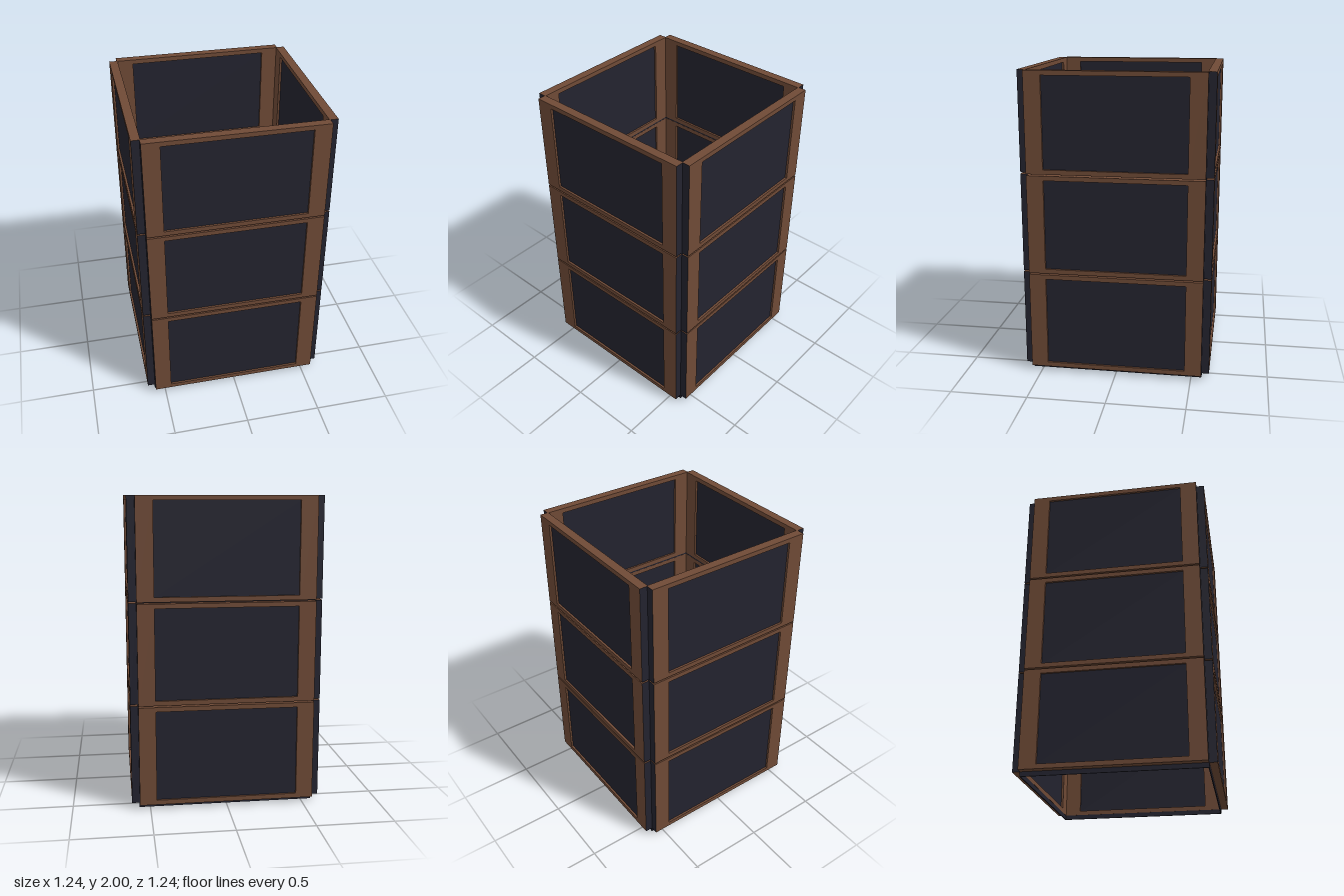
import * as THREE from 'three';

const INNER = 0.562, OUTER = 0.618; // wall faces, measured from the centre
const HALF = 0.568;                 // half the length of a wall
const HOLE = 0.458;                 // half the width of a frame opening
const TIER_H = 0.65, PITCH = 0.66, BASE = 0.03, RAIL = 0.03;

export function createModel() {
  const model = new THREE.Group();
  model.name = 'stackedPanelBox';

  const wood = new THREE.MeshStandardMaterial({ color: 0x6f4a36 });
  wood.name = 'brown wood';
  const dark = new THREE.MeshStandardMaterial({ color: 0x23232f });
  dark.name = 'dark navy';

  // Box given by its min and max corners
  function box(parent, name, min, max, material) {
    const size = max.map((v, i) => v - min[i]);
    const mesh = new THREE.Mesh(new THREE.BoxGeometry(...size), material);
    mesh.position.set(...max.map((v, i) => (v + min[i]) / 2));
    mesh.name = name;
    parent.add(mesh);
  }

  // One framed panel facing +z, with its bottom at y = 0
  function framedPanel() {
    const g = new THREE.Group();
    g.name = 'framedPanel';
    // Stiles, with dark outer ends
    box(g, 'rightStile', [-HALF, 0, INNER], [-HOLE, TIER_H, OUTER],
      [wood, dark, wood, wood, wood, wood]);
    box(g, 'leftStile', [HOLE, 0, INNER], [HALF, TIER_H, OUTER],
      [dark, wood, wood, wood, wood, wood]);
    // Rails
    box(g, 'bottomRail', [-HOLE, 0, INNER], [HOLE, RAIL, OUTER], wood);
    box(g, 'topRail', [-HOLE, TIER_H - RAIL, INNER], [HOLE, TIER_H, OUTER], wood);
    // Recessed board
    box(g, 'board', [-HOLE, RAIL, INNER + 0.014], [HOLE, TIER_H - RAIL, OUTER - 0.014], dark);
    // Thin tongue below the frame, reaching into the tier underneath
    box(g, 'tongue', [-HALF, -BASE, INNER + 0.001], [HALF, 0, INNER + 0.008], dark);
    return g;
  }

  for (let tier = 0; tier < 3; tier++) {
    const ring = new THREE.Group();
    ring.name = 'tier' + (tier + 1);
    ring.position.y = BASE + tier * PITCH;
    for (let side = 0; side < 4; side++) {
      const panel = framedPanel();
      panel.rotation.y = side * Math.PI / 2;
      ring.add(panel);
    }
    model.add(ring);
  }
  return model;
}
